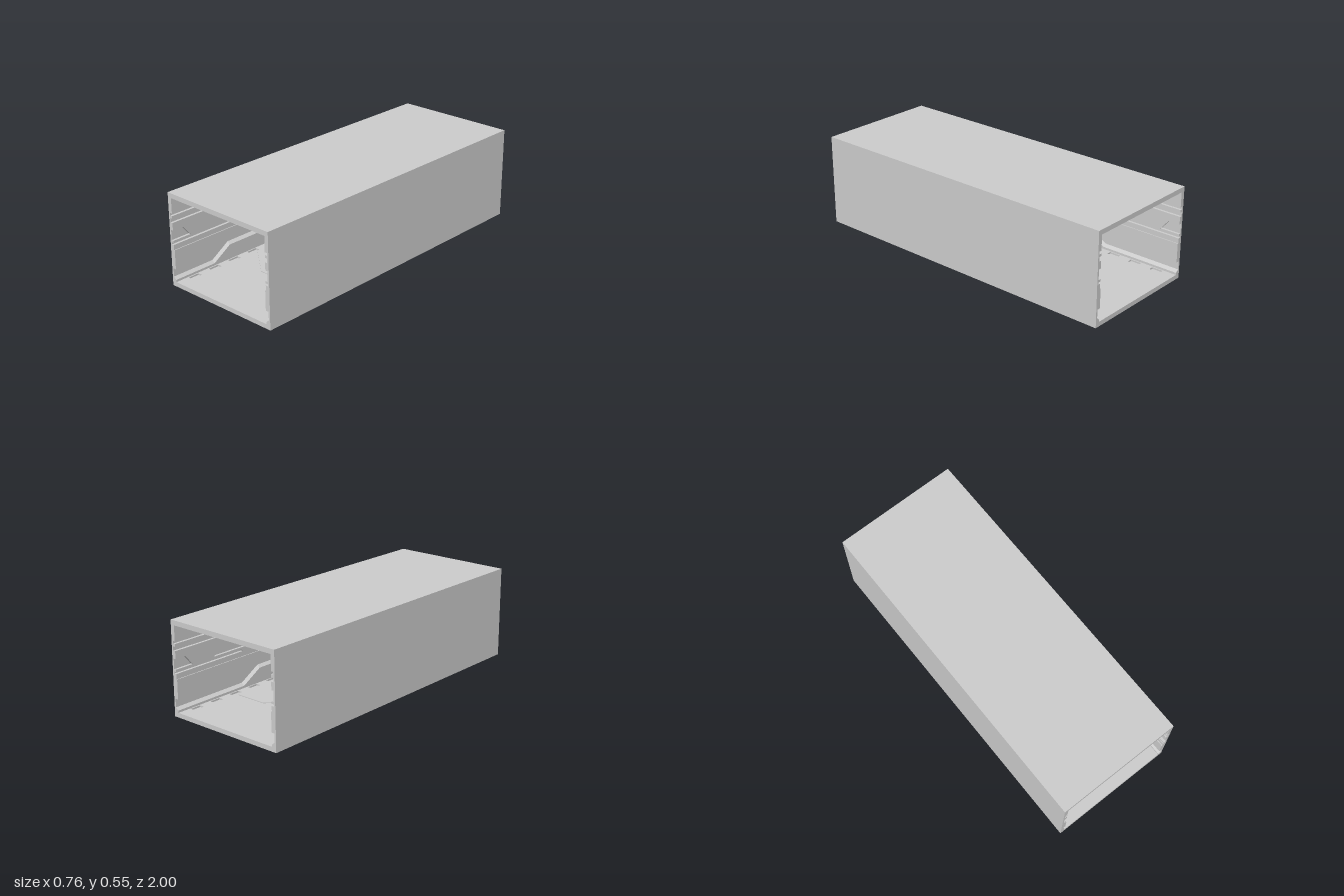
import * as THREE from 'three';

const W = 0.38, H = 0.553, DEEP = 0.37;       // outer half width, height, deepest wall plane
const FLOOR = 0.027, CEIL = 0.525;

const grey = new THREE.MeshStandardMaterial({ color: 0xcccccc, flatShading: true });

const toVecs = (pts, s = 1) => pts.map(([a, b]) => new THREE.Vector2(a * s, b));

function extrude(outline, holes, depth, s = 1) {
  const shape = new THREE.Shape(toVecs(outline, s));
  for (const h of holes) shape.holes.push(new THREE.Path(toVecs(h, s)));
  return new THREE.ExtrudeGeometry(shape, { depth, bevelEnabled: false });
}

const rect = (a0, a1, b0, b1) => [[a0, b0], [a1, b0], [a1, b1], [a0, b1]];

function mesh(name, geometry) {
  const m = new THREE.Mesh(geometry, grey);
  m.name = name;
  return m;
}

// Line along the wall: low at both ends, raised in the middle
const zigzag = (low, high) => [
  [1, low], [0.72, low], [0.6, high], [-0.37, high], [-0.5, low], [-1, low],
];

// Slab lying in the (z, y) plane on a side wall; s = +1 left wall, -1 right wall
function wallSlab(name, s, outline, holes, depth, rule) {
  const g = extrude(outline, holes, depth, s);
  if (rule) {
    const p = g.attributes.position;
    for (let i = 0; i < p.count; i++) p.setY(i, rule(p.getY(i), p.getZ(i)));
    g.computeVertexNormals();
  }
  g.rotateY(-s * Math.PI / 2).translate(s * DEEP, 0, 0);
  // on the right wall the slab grows toward +x
  return mesh(name, g);
}

function sideWall(s) {
  const wall = new THREE.Group();
  wall.name = s > 0 ? 'leftWallPanels' : 'rightWallPanels';

  // Plinth with a sloped top edge that steps up in the middle
  wall.add(wallSlab('plinth', s,
    [[-1, FLOOR], [1, FLOOR], ...zigzag(0.055, 0.13)], [], 0.018,
    (y, d) => (d > 0.01 && y > 0.05 ? y - 0.015 : y)));

  // Middle panel, its lower edge following the plinth
  wall.add(wallSlab('middlePanel', s,
    [[-1, 0.22], [1, 0.22], ...zigzag(0.105, 0.172)], [], 0.02));

  // Upper panel with grooves entering from both ends: [y0, y1, length, slant]
  const grooves = [
    [0.25, 0.262, 0.5, 0.01], [0.275, 0.335, 0.12, 0.05],
    [0.38, 0.405, 0.4, 0.03], [0.42, 0.435, 0.44, 0.02],
  ];
  const outline = [[-1, 0.22], [1, 0.22]];
  for (const [y0, y1, len, sl] of grooves)
    outline.push([1, y0], [1 - len, y0], [1 - len + sl, y1], [1, y1]);
  outline.push([1, CEIL], [-1, CEIL]);
  for (const [y0, y1, len, sl] of [...grooves].reverse())
    outline.push([-1, y1], [-1 + len - sl, y1], [-1 + len, y0], [-1, y0]);
  const holes = [];
  for (const z of [-0.6, -0.2, 0.2, 0.6])
    holes.push([[z - 0.12, 0.275], [z + 0.12, 0.275], [z + 0.07, 0.335], [z - 0.07, 0.335]]);
  holes.push(rect(-0.4, 0.4, 0.25, 0.262));
  wall.add(wallSlab('upperPanel', s, outline, holes, 0.015));

  // Raised plate with cut corners between the grooves
  wall.add(wallSlab('raisedPlate', s,
    [[-0.46, 0.35], [0.46, 0.35], [0.52, 0.38], [0.52, 0.44], [0.46, 0.475],
      [-0.46, 0.475], [-0.52, 0.44], [-0.52, 0.38]], [], 0.019));
  return wall;
}

// Floor or ceiling skin with a row of small recesses along each side
function skin(name, y, depth) {
  const holes = [];
  for (let i = -6; i <= 6; i++)
    for (const s of [-1, 1]) {
      const x = s * 0.33, z = i * 0.147;
      holes.push(rect(x - 0.015, x + 0.015, z - 0.035, z + 0.035));
    }
  return mesh(name, extrude(rect(-DEEP, DEEP, -1, 1), holes, depth)
    .rotateX(-Math.PI / 2).translate(0, y, 0));
}

// Thin raised plate with stepped front and back edges
function plate(name, y) {
  const pts = [[-0.295, 0.44], [-0.1, 0.6], [0.1, 0.6], [0.295, 0.44],
    [0.295, -0.6], [0.1, -0.6], [-0.05, -0.42], [-0.295, -0.42]].map(([x, z]) => [x, -z]);
  return mesh(name, extrude(pts, [], 0.004).rotateX(-Math.PI / 2).translate(0, y, 0));
}

export function createModel() {
  const model = new THREE.Group();
  model.name = 'corridor';

  // Outer shell, open at both ends
  const shell = extrude(rect(-W, W, 0, H), [rect(-DEEP, DEEP, 0.017, 0.536)], 2);
  model.add(mesh('shell', shell.translate(0, 0, -1)));

  model.add(skin('floor', 0.017, 0.01), skin('ceiling', CEIL, 0.011));
  model.add(plate('floorPlate', FLOOR), plate('ceilingPlate', CEIL - 0.004));
  for (const s of [1, -1]) model.add(sideWall(s));
  return model;
}
